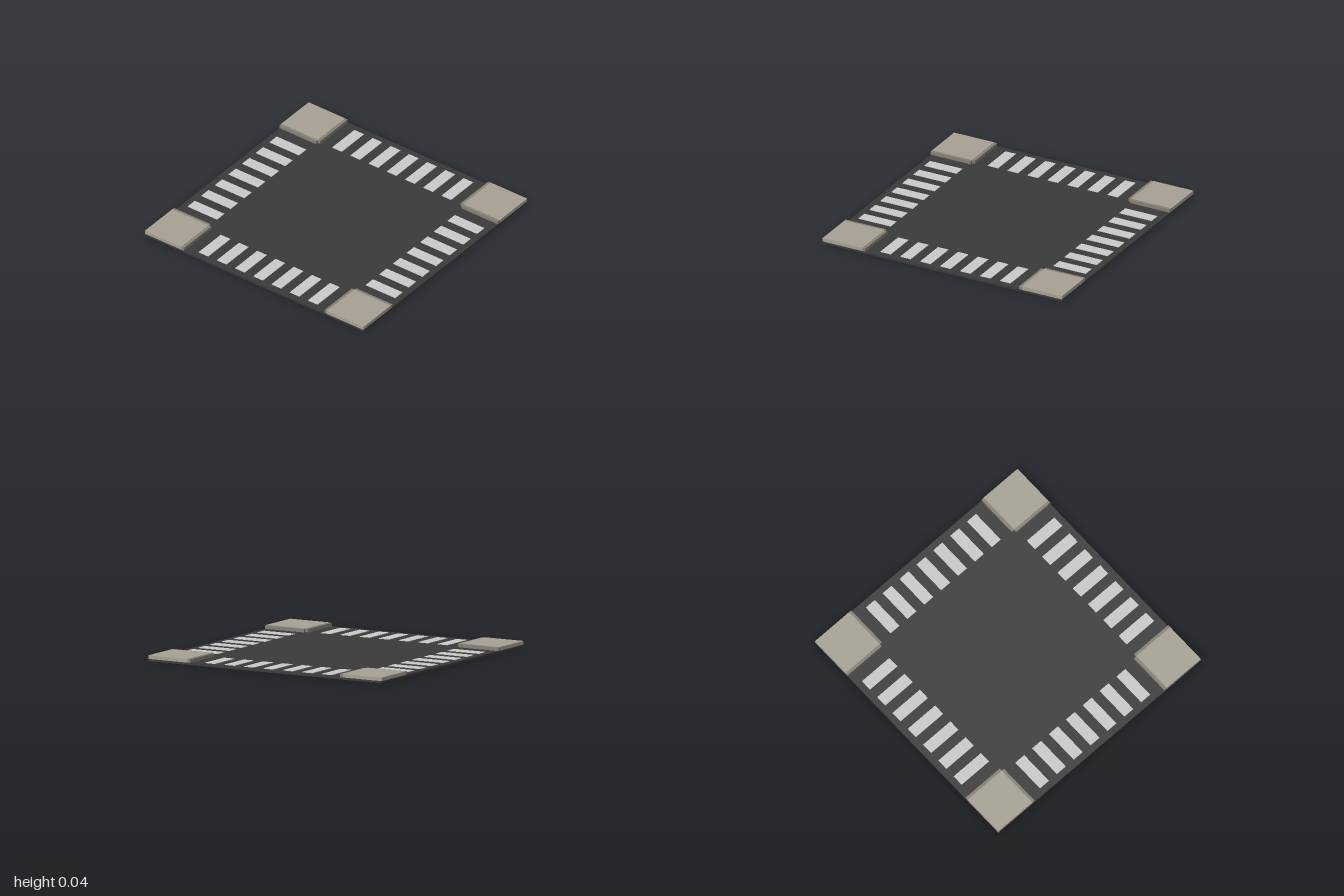
import * as THREE from 'three';

const material = (name, color) => {
  const m = new THREE.MeshStandardMaterial({ color });
  m.name = name;
  return m;
};

export function createModel() {
  const asphalt = material('asphalt', 0x3a3a3a);
  const paint = material('roadPaint', 0xc9c9c9);
  const paving = material('paving', 0xa6a193);
  const kerbStone = material('kerbStone', 0x858074);

  const model = new THREE.Group();
  model.name = 'crossroads';

  // Box given by its width, depth, bottom and top heights and centre.
  const slab = (parent, name, mat, w, d, y0, y1, x, z) => {
    const mesh = new THREE.Mesh(new THREE.BoxGeometry(w, y1 - y0, d), mat);
    mesh.name = name;
    mesh.position.set(x, (y0 + y1) / 2, z);
    parent.add(mesh);
  };

  const ROAD = 0.016, PAVE = 0.043, KERB = 0.041;
  slab(model, 'road', asphalt, 2, 2, 0, ROAD, 0, 0);

  // Pavement corners, each with two kerbs that stop short of the inner corner
  for (const sx of [-1, 1]) {
    for (const sz of [-1, 1]) {
      const corner = new THREE.Group();
      corner.name = 'pavementCorner';
      slab(corner, 'pavement', paving, 0.335, 0.335, ROAD, PAVE, sx * 0.8325, sz * 0.8325);
      slab(corner, 'kerb', kerbStone, 0.022, 0.335, ROAD, KERB, sx * 0.654, sz * 0.8325);
      slab(corner, 'kerb', kerbStone, 0.335, 0.022, ROAD, KERB, sx * 0.8325, sz * 0.654);
      model.add(corner);
    }
  }

  // Zebra crossings, one on each of the four arms
  for (let arm = 0; arm < 4; arm++) {
    const crossing = new THREE.Group();
    crossing.name = 'crossing';
    crossing.rotation.y = (arm * Math.PI) / 2;
    for (let i = -3; i <= 3; i++) {
      slab(crossing, 'stripe', paint, 0.088, 0.27, ROAD, 0.02, i / 6, 0.815);
    }
    model.add(crossing);
  }

  return model;
}
